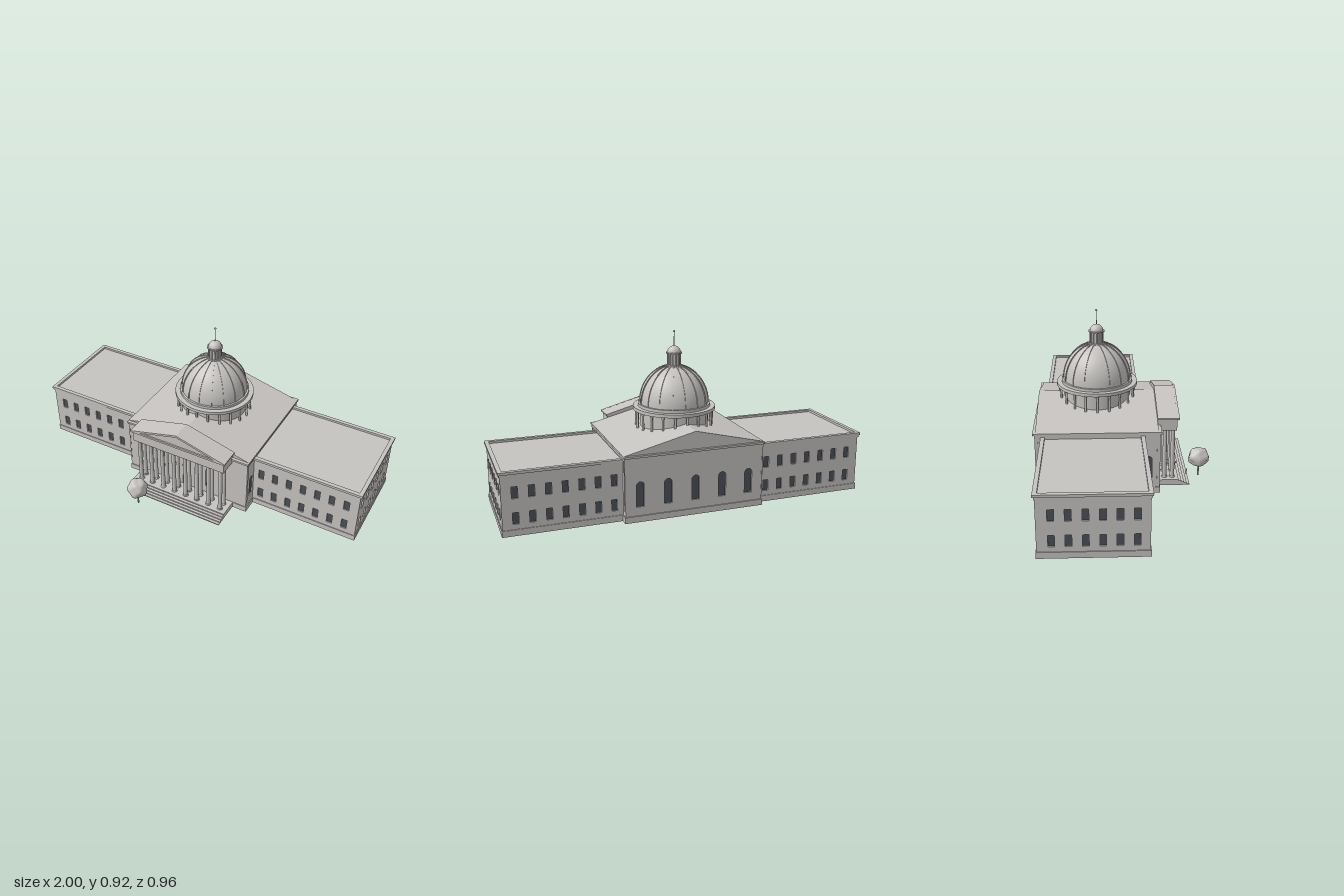
import * as THREE from 'three';

const stone = new THREE.MeshStandardMaterial({ color: 0xc6c3c0 });
stone.name = 'pale stone';
const glass = new THREE.MeshStandardMaterial({ color: 0x4b5056 });
glass.name = 'dark glass';

const DOME_Z = -0.14, RECESS = 0.008;

function add(parent, name, geometry, material = stone, x = 0, y = 0, z = 0) {
  const m = new THREE.Mesh(geometry, material);
  m.name = name;
  m.position.set(x, y, z);
  parent.add(m);
  return m;
}

// Box given by its limits
function block(parent, name, x0, x1, y0, y1, z0, z1, mat = stone) {
  return add(parent, name, new THREE.BoxGeometry(x1 - x0, y1 - y0, z1 - z0), mat,
    (x0 + x1) / 2, (y0 + y1) / 2, (z0 + z1) / 2);
}

const cyl = (rTop, rBottom, h, n = 48) => new THREE.CylinderGeometry(rTop, rBottom, h, n);

// Window outline, square or round-headed
function outline(o, target) {
  const r = o.w / 2;
  target.moveTo(o.x - r, o.y);
  target.lineTo(o.x + r, o.y);
  if (o.arch) {
    target.lineTo(o.x + r, o.y + o.h - r);
    target.absarc(o.x, o.y + o.h - r, r, 0, Math.PI, false);
  } else {
    target.lineTo(o.x + r, o.y + o.h);
    target.lineTo(o.x - r, o.y + o.h);
  }
  target.closePath();
  return target;
}

// Wall skin with openings; its outer face is at local z = 0
function wall(parent, name, width, height, openings, x, z, turn) {
  const g = new THREE.Group();
  g.name = name;
  const s = new THREE.Shape();
  s.moveTo(-width / 2, 0);
  s.lineTo(width / 2, 0);
  s.lineTo(width / 2, height);
  s.lineTo(-width / 2, height);
  s.closePath();
  for (const o of openings) {
    s.holes.push(outline(o, new THREE.Path()));
    add(g, 'windowPane', new THREE.ShapeGeometry(outline(o, new THREE.Shape()), 8), glass, 0, 0, -RECESS + 0.001);
  }
  add(g, 'wallSkin', new THREE.ExtrudeGeometry(s, { depth: RECESS, bevelEnabled: false, curveSegments: 8 }),
    stone, 0, 0, -RECESS);
  g.position.set(x, 0, z);
  g.rotation.y = turn;
  parent.add(g);
}

// Gable prism running along z, or a raking frame when inset is given
function gable(parent, name, half, y0, eave, apex, z0, z1, inset = 0) {
  const s = new THREE.Shape();
  s.moveTo(-half, y0);
  s.lineTo(half, y0);
  s.lineTo(half, eave);
  s.lineTo(0, apex);
  s.lineTo(-half, eave);
  s.closePath();
  if (inset) {
    const h = new THREE.Path();
    h.moveTo(-half + inset * 5, eave + inset * 0.3);
    h.lineTo(0, apex - inset);
    h.lineTo(half - inset * 5, eave + inset * 0.3);
    h.closePath();
    s.holes.push(h);
  }
  return add(parent, name, new THREE.ExtrudeGeometry(s, { depth: z1 - z0, bevelEnabled: false }), stone, 0, 0, z0);
}

// Two rows of square windows
const rows = (xs) => xs.flatMap(x => [0.06, 0.193].map(y => ({ x, y, w: 0.031, h: 0.061 })));

function wing(side) {
  const g = new THREE.Group();
  g.name = side > 0 ? 'leftWing' : 'rightWing';
  const span = (name, a, b, y0, y1, z0, z1) =>
    block(g, name, Math.min(a * side, b * side), Math.max(a * side, b * side), y0, y1, z0, z1);
  span('wingCore', 0.36, 0.99 - RECESS, 0, 0.322, -0.43 + RECESS, 0.098 - RECESS);
  span('wingPlinth', 0.36, 0.994, 0, 0.033, -0.434, 0.102);
  const len = 0.63, mid = 0.675;
  const xs = Array.from({ length: 7 }, (_, i) => 0.425 + i * 0.083 - mid);
  wall(g, 'frontWall', len, 0.32, rows(xs.map(x => x * side)), mid * side, 0.098, 0);
  wall(g, 'backWall', len, 0.32, rows(xs.map(x => -x * side)), mid * side, -0.43, Math.PI);
  const zs = Array.from({ length: 6 }, (_, i) => 0.037 - i * 0.0795 + 0.166);
  wall(g, 'endWall', 0.528, 0.32, rows(zs.map(z => -z * side)), 0.99 * side, -0.166, side * Math.PI / 2);
  // cornice and low parapet round the flat roof
  for (const [e, y0, y1] of [[0.004, 0.306, 0.32], [0.01, 0.32, 0.334]]) {
    span('frontCornice', 0.36, 0.99 + e, y0, y1, 0.086, 0.098 + e);
    span('backCornice', 0.36, 0.99 + e, y0, y1, -0.43 - e, -0.418);
    span('endCornice', 0.978, 0.99 + e, y0, y1, -0.43 - e, 0.098 + e);
  }
  return g;
}

function centreBlock() {
  const g = new THREE.Group();
  g.name = 'centreBlock';
  const X = 0.379, Z0 = -0.47, Z1 = 0.188;
  block(g, 'centreCore', -X + RECESS, X - RECESS, 0, 0.345, Z0 + RECESS, Z1 - RECESS);
  block(g, 'centrePlinth', -X - 0.005, X + 0.005, 0, 0.033, Z0 - 0.006, Z1 + 0.004);
  const arch = x => ({ x, y: 0.08, w: 0.042, h: 0.135, arch: true });
  wall(g, 'frontWall', 2 * X, 0.345, [arch(-0.145), { x: 0, y: 0.034, w: 0.052, h: 0.146 }, arch(0.145)], 0, Z1, 0);
  wall(g, 'backWall', 2 * X, 0.345, [-0.3, -0.15, 0, 0.15, 0.3].map(arch), 0, Z0, Math.PI);
  const mid = (Z0 + Z1) / 2;
  for (const s of [-1, 1]) {
    wall(g, 'sideWall', Z1 - Z0, 0.345, [arch(-s * (0.126 - mid))], s * X, mid, s * Math.PI / 2);
    // corner pilasters
    for (const z of [Z0 + 0.007, Z1 - 0.007])
      block(g, 'pilaster', s * X - 0.01, s * X + 0.01, 0.06, 0.33, z - 0.0085, z + 0.0085).scale.x = 0.3;
  }
  block(g, 'cornice', -X - 0.003, X + 0.003, 0.328, 0.345, Z0 - 0.003, Z1 + 0.003);
  block(g, 'eaves', -0.387, 0.387, 0.345, 0.356, -0.482, 0.197);
  gable(g, 'mainRoof', 0.384, 0.354, 0.356, 0.45, -0.467, 0.18);
  return g;
}

function portico() {
  const g = new THREE.Group();
  g.name = 'portico';
  block(g, 'porchFloor', -0.3, 0.3, 0, 0.033, 0.18, 0.3);
  for (let i = 0; i < 4; i++) block(g, 'step', -0.3, 0.3, 0, 0.0066 * (i + 1), 0.29, 0.36 - i * 0.015);
  // two rows of eight columns
  for (const z of [0.267, 0.224]) for (let i = 0; i < 8; i++) {
    const x = (i - 3.5) * 0.074;
    add(g, 'columnBase', cyl(0.014, 0.016, 0.008, 20), stone, x, 0.037, z);
    add(g, 'columnShaft', cyl(0.0105, 0.0125, 0.275, 20), stone, x, 0.178, z);
    add(g, 'columnCapital', cyl(0.0155, 0.011, 0.01, 20), stone, x, 0.318, z);
  }
  block(g, 'architrave', -0.287, 0.287, 0.322, 0.386, 0.18, 0.286);
  block(g, 'architraveBand', -0.29, 0.29, 0.38, 0.392, 0.18, 0.29);
  gable(g, 'pediment', 0.297, 0.388, 0.396, 0.475, 0.18, 0.29);
  gable(g, 'rakingCornice', 0.298, 0.388, 0.396, 0.476, 0.288, 0.298, 0.012);
  return g;
}

function dome() {
  const g = new THREE.Group();
  g.name = 'dome';
  g.position.z = DOME_Z;
  add(g, 'drum', cyl(0.186, 0.186, 0.14), stone, 0, 0.43, 0);
  // ring of small columns
  for (let i = 0; i < 20; i++) {
    const a = i * Math.PI / 10, x = 0.208 * Math.sin(a), z = 0.208 * Math.cos(a);
    add(g, 'ringColumn', cyl(0.0058, 0.0065, 0.11, 12), stone, x, 0.43, z);
    add(g, 'ringCapital', cyl(0.0095, 0.007, 0.014, 12), stone, x, 0.487, z);
  }
  add(g, 'colonnadeRing', cyl(0.224, 0.224, 0.018, 64), stone, 0, 0.503, 0);
  add(g, 'domeFoot', cyl(0.197, 0.197, 0.016, 64), stone, 0, 0.52, 0);
  // elliptical shell with ribs
  const at = (t, e = 0) => [(0.186 + e) * Math.cos(t), 0.528 + (0.204 + e) * Math.sin(t)];
  const top = 1.4, N = 20;
  const shell = Array.from({ length: N + 1 }, (_, i) => new THREE.Vector2(...at(top * i / N)));
  add(g, 'domeShell', new THREE.LatheGeometry(shell, 64));
  const rib = new THREE.Shape();
  for (let i = 0; i <= N; i++) {
    const p = at(top * i / N, 0.004);
    i ? rib.lineTo(...p) : rib.moveTo(...p);
  }
  for (let i = N; i >= 0; i--) rib.lineTo(...at(top * i / N, -0.006));
  const ribGeometry = new THREE.ExtrudeGeometry(rib, { depth: 0.007, bevelEnabled: false });
  ribGeometry.translate(0, 0, -0.0035);
  for (let i = 0; i < 16; i++) add(g, 'domeRib', ribGeometry).rotation.y = i * Math.PI / 8;
  // lantern, cap and spire
  add(g, 'lanternFoot', cyl(0.041, 0.043, 0.008), stone, 0, 0.729, 0);
  add(g, 'lantern', cyl(0.034, 0.034, 0.07, 32), stone, 0, 0.762, 0);
  for (let i = 0; i < 12; i++) {
    const a = i * Math.PI / 6;
    add(g, 'lanternColumn', cyl(0.004, 0.004, 0.066, 8), stone, 0.035 * Math.sin(a), 0.762, 0.035 * Math.cos(a));
  }
  add(g, 'lanternCornice', cyl(0.044, 0.044, 0.006), stone, 0, 0.798, 0);
  add(g, 'lanternCap', new THREE.SphereGeometry(0.037, 32, 12, 0, Math.PI * 2, 0, Math.PI / 2), stone, 0, 0.799, 0);
  add(g, 'spire', cyl(0.0015, 0.0025, 0.085, 8), stone, 0, 0.872, 0);
  add(g, 'spireBall', new THREE.SphereGeometry(0.006, 16, 12), stone, 0, 0.914, 0);
  return g;
}

function tree() {
  const g = new THREE.Group();
  g.name = 'tree';
  g.position.set(-0.185, 0, 0.422);
  add(g, 'trunk', cyl(0.004, 0.005, 0.08, 10), stone, 0, 0.04, 0);
  // lumpy crown
  const crown = new THREE.SphereGeometry(1, 32, 24);
  const p = crown.attributes.position, v = new THREE.Vector3();
  for (let i = 0; i < p.count; i++) {
    v.fromBufferAttribute(p, i);
    const bump = Math.sin(4 * v.x + 1) * Math.sin(4.5 * v.y + 0.5) * Math.cos(4 * v.z);
    v.multiplyScalar(0.054 + 0.007 * bump);
    p.setXYZ(i, v.x, v.y, v.z * 1.06);
  }
  crown.computeVertexNormals();
  add(g, 'crown', crown, stone, 0, 0.113, 0);
  return g;
}

// Tiny visitor
function visitor(x, y, z, h) {
  const g = new THREE.Group();
  g.name = 'visitor';
  g.position.set(x, y, z);
  add(g, 'body', cyl(h * 0.12, h * 0.07, h * 0.8, 8), stone, 0, h * 0.4, 0);
  add(g, 'head', new THREE.SphereGeometry(h * 0.1, 10, 8), stone, 0, h * 0.9, 0);
  return g;
}

export function createModel() {
  const model = new THREE.Group();
  model.name = 'domedCapitol';
  model.add(wing(1), wing(-1), centreBlock(), portico(), dome(), tree(),
    visitor(-0.178, 0.006, 0.356, 0.033), visitor(-0.09, 0.026, 0.305, 0.015), visitor(0, 0.033, 0.29, 0.012));
  return model;
}
